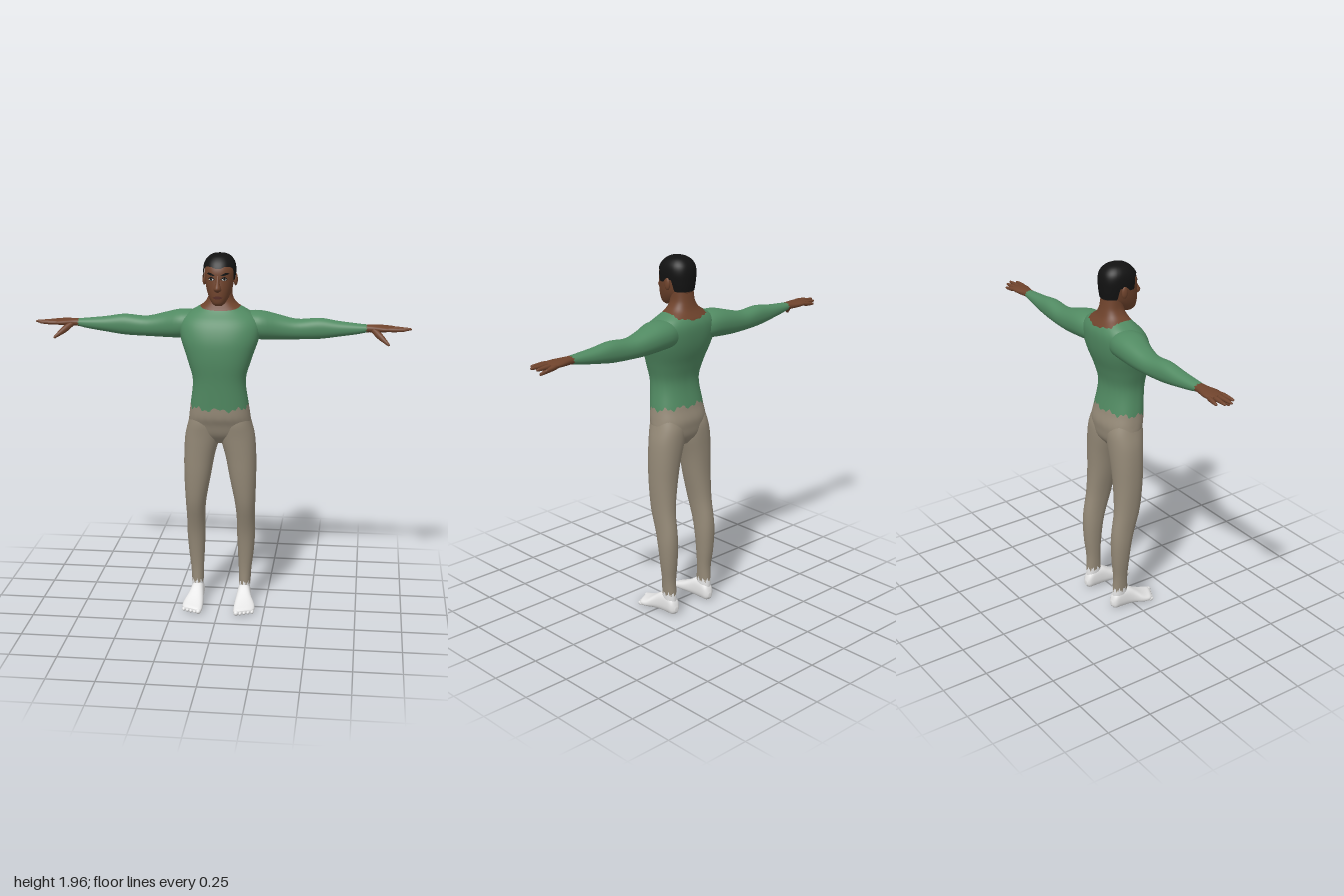
import * as THREE from 'three';

const mat = (name, color) => Object.assign(new THREE.MeshStandardMaterial({ color }), { name });
const rad = THREE.MathUtils.degToRad;
const step = THREE.MathUtils.smoothstep;

// Smooth interpolation of section rows [w, u0, u1, v0, v1] at height w
function sectionAt(rows, w) {
  const n = rows.length;
  let i = 0;
  while (i < n - 2 && w > rows[i + 1][0]) i++;
  const h = rows[i + 1][0] - rows[i][0];
  const t = THREE.MathUtils.clamp((w - rows[i][0]) / h, 0, 1);
  const slope = (k, c) => {
    const a = rows[Math.max(0, k - 1)], b = rows[Math.min(n - 1, k + 1)];
    return (b[c] - a[c]) / (b[0] - a[0]) * h;
  };
  return [1, 2, 3, 4].map(c => {
    const p = rows[i][c], q = rows[i + 1][c], t2 = t * t, t3 = t2 * t;
    return p * (2 * t3 - 3 * t2 + 1) + q * (3 * t2 - 2 * t3)
      + slope(i, c) * (t3 - 2 * t2 + t) + slope(i + 1, c) * (t3 - t2);
  });
}

// Skin over rounded sections; lo and hi may vary round the ring to shape hems
const AXES = { y: (u, v, w) => [u, w, v], x: (u, v, w) => [w, v, u], z: (u, v, w) => [v, u, w] };
function loft(rows, o = {}) {
  const { axis = 'y', n = 2.2, segs = 48, steps = 24, a0 = 0, a1 = Math.PI * 2, grow = 0, rise = 0 } = o;
  const lo = o.lo ?? (() => rows[0][0]), hi = o.hi ?? (() => rows[rows.length - 1][0]);
  const full = a1 - a0 > 6.28, cols = full ? segs : segs + 1, pos = [], idx = [];
  const pow = c => Math.sign(c) * Math.abs(c) ** (2 / n);
  for (let i = 0; i <= steps; i++) {
    const t = (1 - Math.cos(Math.PI * i / steps)) / 2;
    for (let j = 0; j < cols; j++) {
      const s = j / segs, a = a0 + (a1 - a0) * s;
      const w = lo(a, s) * (1 - t) + hi(a, s) * t;
      const [u0, u1, v0, v1] = sectionAt(rows, w);
      const u = (u0 + u1) / 2 + ((u1 - u0) / 2 + grow) * pow(Math.cos(a));
      const v = (v0 + v1) / 2 + ((v1 - v0) / 2 + grow) * pow(Math.sin(a));
      pos.push(...AXES[axis](u, v, w + rise * t));
    }
  }
  const at = (i, j) => i * cols + (full ? j % segs : j);
  for (let i = 0; i < steps; i++) for (let j = 0; j < segs; j++) {
    const a = at(i, j), b = at(i, j + 1), c = at(i + 1, j), d = at(i + 1, j + 1);
    idx.push(a, c, b, b, c, d);
  }
  const cap = (i, flip) => {
    const c = pos.length / 3, m = [0, 0, 0];
    for (let j = 0; j < cols; j++) for (let k = 0; k < 3; k++) m[k] += pos[at(i, j) * 3 + k] / cols;
    pos.push(...m);
    for (let j = 0; j < segs; j++) idx.push(c, at(i, j + (flip ? 1 : 0)), at(i, j + (flip ? 0 : 1)));
  };
  if (o.capLo) cap(0, false);
  if (o.capHi) cap(steps, true);
  const g = new THREE.BufferGeometry();
  g.setAttribute('position', new THREE.Float32BufferAttribute(pos, 3));
  g.setIndex(idx);
  g.computeVertexNormals();
  return g;
}

function mirrored(geo) {
  const g = geo.clone().scale(-1, 1, 1), ix = g.index.array;
  for (let i = 0; i < ix.length; i += 3) [ix[i], ix[i + 1]] = [ix[i + 1], ix[i]];
  g.computeVertexNormals();
  return g;
}

const ellipsoid = (x, y, z, a, b, c) => new THREE.SphereGeometry(1, 16, 12).scale(a, b, c).translate(x, y, z);

// Tapered round-ended digit from p to q
function digit(p, q, r0, r1) {
  const a = new THREE.Vector3(...p), d = new THREE.Vector3(...q).sub(a), l = d.length();
  const prof = [[r0 * 0.8, 0], [r0, l * 0.3], [r0 * 0.9, l * 0.5], [r1, l * 0.85], [r1 * 0.7, l * 0.96], [0, l]];
  const g = new THREE.LatheGeometry(prof.map(k => new THREE.Vector2(...k)), 12);
  g.applyQuaternion(new THREE.Quaternion().setFromUnitVectors(new THREE.Vector3(0, 1, 0), d.normalize()));
  return g.translate(...p);
}

const TORSO = [
  [0.95, -.06, .06, -.06, .03], [1.0, -.14, .14, -.10, .07], [1.06, -.165, .165, -.112, .092],
  [1.1, -.163, .163, -.114, .108], [1.16, -.155, .155, -.10, .113], [1.3, -.14, .14, -.078, .125],
  [1.4, -.166, .166, -.10, .137], [1.47, -.19, .19, -.125, .138], [1.52, -.206, .206, -.138, .132],
  [1.58, -.212, .212, -.146, .113], [1.62, -.197, .197, -.145, .09], [1.65, -.163, .163, -.135, .062],
  [1.67, -.13, .13, -.122, .045], [1.69, -.096, .096, -.11, .035], [1.71, -.076, .076, -.102, .026],
  [1.74, -.063, .063, -.094, .02], [1.8, -.06, .06, -.084, .015]];
const LEG = [
  [.04, .105, .155, -.12, -.04], [.1, .1, .162, -.12, -.032], [.2, .098, .168, -.115, -.035],
  [.3, .093, .18, -.125, -.028], [.42, .088, .188, -.13, -.012], [.5, .088, .187, -.124, .01],
  [.6, .08, .19, -.107, .04], [.75, .052, .195, -.1, .06], [.87, .03, .195, -.104, .068],
  [.95, .008, .191, -.108, .074], [1.0, -.003, .185, -.11, .078], [1.06, -.003, .17, -.108, .085],
  [1.12, 0, .155, -.09, .08]];
const ARM = [
  [.08, -.12, .02, 1.51, 1.64], [.15, -.14, .03, 1.51, 1.655], [.22, -.143, .034, 1.505, 1.655],
  [.3, -.138, .005, 1.503, 1.635], [.4, -.128, -.015, 1.505, 1.612], [.52, -.118, -.022, 1.51, 1.62],
  [.62, -.11, -.025, 1.525, 1.606], [.72, -.097, -.03, 1.541, 1.596], [.77, -.092, -.033, 1.552, 1.592],
  [.8, -.097, -.03, 1.553, 1.592], [.84, -.107, -.018, 1.555, 1.591], [.88, -.108, -.016, 1.558, 1.588],
  [.905, -.1, -.025, 1.564, 1.583]];
const HEAD = [
  [1.7, -.02, .02, .035, .085], [1.712, -.034, .034, .005, .1], [1.74, -.051, .051, -.04, .107],
  [1.77, -.063, .063, -.083, .109], [1.8, -.07, .07, -.092, .108], [1.84, -.076, .076, -.096, .104],
  [1.88, -.079, .079, -.097, .1], [1.915, -.072, .072, -.088, .083], [1.94, -.053, .053, -.066, .058],
  [1.953, -.03, .03, -.04, .032], [1.958, -.005, .005, -.01, .005]];
const NOSE = [
  [1.774, -.006, .006, .09, .114], [1.784, -.019, .019, .085, .132], [1.795, -.019, .019, .085, .14],
  [1.82, -.011, .011, .085, .125], [1.85, -.009, .009, .08, .109], [1.866, -.008, .008, .07, .098]];
const FOOT = [
  [-.132, .02, .045, .115, .14], [-.118, .003, .085, .1, .158], [-.08, 0, .115, .096, .163],
  [-.03, 0, .112, .094, .168], [.01, 0, .088, .09, .178], [.06, 0, .062, .086, .193],
  [.11, 0, .042, .086, .2], [.135, .003, .034, .09, .197], [.145, .01, .025, .1, .185]];

// Ragged edges
const jag = (a, amp) => amp * (Math.sin(a * 9) * 0.6 + Math.sin(a * 23 + 1) * 0.5);
const waist = a => 1.15 + jag(a, .014) - .012 * Math.sin(a) + .012;
const collar = a => 1.668 + .016 * Math.cos(a) ** 2 - (Math.sin(a) < 0 ? .018 * Math.sin(a) ** 2 + jag(a, .006) * Math.sin(a) : 0);
const ankle = a => .122 + jag(a, .018);
const cuff = a => .765 + jag(a, .006);
const hairline = a => {
  const s = Math.sin(a);
  return 1.787 + .062 * step(s, -.5, -.3) - .018 * step(s, .0, .12) + .06 * step(s, .36, .5)
    + .012 * step(s, .5, .75) - .008 * step(s, .94, 1);
};

export function createModel() {
  const model = new THREE.Group();
  model.name = 'standingMan';
  const skin = mat('skin', 0x6f432c), hair = mat('hair', 0x121212), shirt = mat('shirtGreen', 0x518a62);
  const cloth = mat('trouserTaupe', 0x948977), white = mat('sockWhite', 0xe9e9e9);
  const lip = mat('lips', 0x59302a), eyeWhite = mat('eyeWhite', 0xcfc8c0);
  const add = (name, geo, m) => {
    const mesh = new THREE.Mesh(geo, m);
    mesh.name = name;
    model.add(mesh);
  };
  const pair = (name, geo, m) => {
    add(name + 'Left', geo, m);
    add(name + 'Right', mirrored(geo), m);
  };

  // Trunk
  const trunk = { n: 2.35, segs: 96, steps: 36 };
  add('pelvis', loft(TORSO, { ...trunk, hi: waist, capLo: true }), cloth);
  add('shirtBody', loft(TORSO, { ...trunk, lo: waist, hi: collar }), shirt);
  add('neck', loft(TORSO, { ...trunk, lo: collar }), skin);

  // Legs and feet
  pair('trouserLeg', loft(LEG, { segs: 64, steps: 36, lo: ankle, capHi: true }), cloth);
  pair('ankle', loft(LEG, { segs: 64, steps: 8, hi: ankle }), white);
  const foot = loft(FOOT, { axis: 'z', n: 2.5, segs: 32, capLo: true, capHi: true });
  const slant = (x, z) => z - .45 * Math.max(0, x - .1) * step(z, -.02, .12);
  const fp = foot.attributes.position;
  for (let i = 0; i < fp.count; i++) fp.setZ(i, slant(fp.getX(i), fp.getZ(i)));
  foot.computeVertexNormals();
  pair('foot', foot, white);
  for (let i = 0; i < 5; i++) {
    const x = .104 + i * .021, r = i ? .011 : .015;
    pair('toe' + (i + 1), ellipsoid(x, r, slant(x, .134), r, r, .021), white);
  }

  // Arms and hands
  pair('sleeve', loft(ARM, { axis: 'x', segs: 48, steps: 36, hi: cuff, capLo: true }), shirt);
  pair('hand', loft(ARM, { axis: 'x', segs: 48, steps: 16, lo: cuff, capHi: true }), skin);
  [[-.096, .952, 1.562, -.106], [-.074, .985, 1.569, -.08], [-.051, 1.0, 1.574, -.053], [-.028, .975, 1.574, -.024]]
    .forEach(([z, x, y, zt], i) => pair('finger' + (i + 1), digit([.87, 1.573, z], [x, y, zt], .0125, .008), skin));
  pair('thumb', digit([.8, 1.568, -.045], [.886, 1.5, .028], .018, .009), skin);

  // Head
  add('head', loft(HEAD, { n: 2.3, steps: 32, capLo: true, capHi: true }), skin);
  add('hair', loft(HEAD, { n: 2.3, segs: 96, steps: 28, grow: .006, rise: .006, lo: hairline, capHi: true }), hair);
  add('nose', loft(NOSE, { segs: 24, steps: 16, n: 2, capLo: true, capHi: true }), skin);
  pair('ear', ellipsoid(.082, 1.826, -.012, .011, .032, .018).rotateX(0), skin);

  // Face details laid on the head surface
  const patch = (from, to, y, up, down, grow, tilt = 0) => loft(HEAD, {
    n: 2.3, segs: 14, steps: 4, a0: rad(from), a1: rad(to), grow,
    lo: (a, s) => y + tilt * (s - .5) - down * Math.sin(Math.PI * s),
    hi: (a, s) => y + tilt * (s - .5) + up * Math.sin(Math.PI * s) });
  pair('eyelid', patch(53, 82, 1.841, .012, .008, .0015), hair);
  pair('eye', patch(56, 79, 1.84, .006, .006, .0025), eyeWhite);
  pair('iris', patch(63, 72, 1.841, .006, .006, .0035), hair);
  pair('eyebrow', patch(46, 83, 1.864, .009, .003, .002, -.01), hair);
  add('lips', patch(66, 114, 1.747, .008, .009, .004), lip);
  return model;
}
